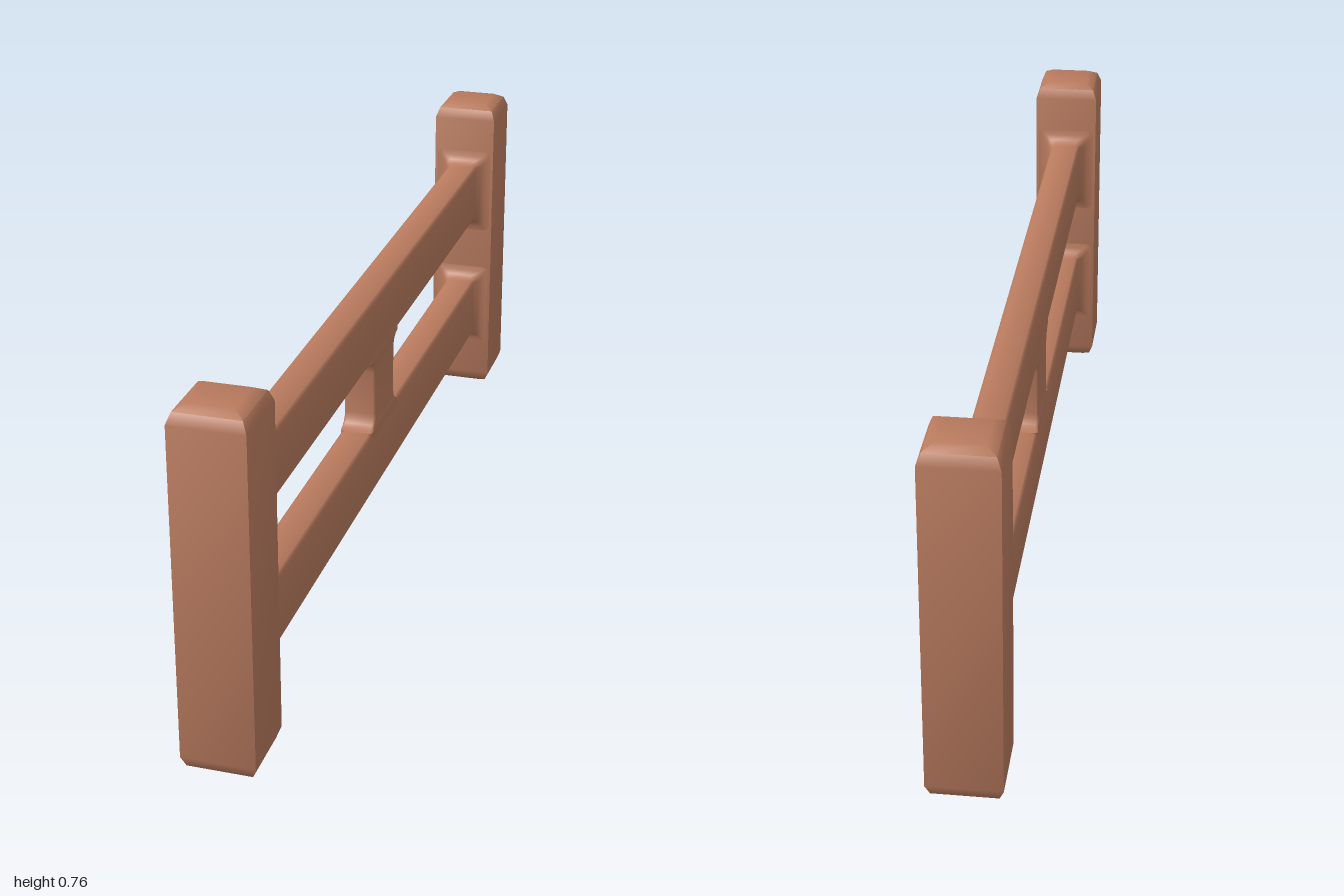
import * as THREE from 'three';
import { toCreasedNormals } from 'three/addons/utils/BufferGeometryUtils.js';

// Joins equal-sized cross-sections [z, [[x, y], ...]] along z and caps both ends
function loft(sections) {
  const pos = [], index = [], n = sections[0][1].length, last = sections.length - 1;
  for (const [z, ring] of sections) for (const [x, y] of ring) pos.push(x, y, z);
  for (let s = 0; s < last; s++) {
    for (let i = 0; i < n; i++) {
      const a = s * n + i, b = s * n + (i + 1) % n;
      index.push(a, b, b + n, a, b + n, a + n);
    }
  }
  for (let i = 1; i < n - 1; i++) {
    index.push(0, i + 1, i, last * n, last * n + i, last * n + i + 1);
  }
  const geo = new THREE.BufferGeometry();
  geo.setAttribute('position', new THREE.Float32BufferAttribute(pos, 3));
  geo.setIndex(index);
  return geo;
}

const finish = (geo) => toCreasedNormals(geo, 0.82);
const rect = (w, h) => [[-w, -h], [w, -h], [w, h], [-w, h]];

// Rectangle with separately rounded bottom and top edges
function softRect(w, h, rBottom, rTop) {
  const ring = [];
  [[1, -1, rBottom], [1, 1, rTop], [-1, 1, rTop], [-1, -1, rBottom]].forEach(([sx, sy, r], q) => {
    for (let i = 0; i <= 3; i++) {
      const a = (q - 1 + i / 3) * Math.PI / 2;
      ring.push([sx * (w - r) + r * Math.cos(a), sy * (h - r) + r * Math.sin(a)]);
    }
  });
  return ring;
}

// Concave fillet: distance from the joint and outward spread
const fillet = [];
for (let i = 0; i <= 4; i++) {
  const a = i / 4 * Math.PI / 2;
  fillet.push([0.032 * (1 - Math.sin(a)), 0.032 * (1 - Math.cos(a))]);
}

export function createModel() {
  const group = new THREE.Group();
  const wood = new THREE.MeshStandardMaterial({ color: 0xb87a5e });
  wood.name = 'wood';
  const add = (name, geo, y, z) => {
    const mesh = new THREE.Mesh(geo, wood);
    mesh.name = name;
    mesh.position.set(0, y, z);
    group.add(mesh);
  };

  // End posts with rounded tops and feet
  const H = 0.76, bevel = [[0, 0.045], [0.012, 0.066], [0.035, 0.075]];
  const postSections = [
    ...bevel.map(([y, w]) => [y, rect(w, w)]),
    ...bevel.slice().reverse().map(([y, w]) => [H - y, rect(w, w)]),
  ];
  const post = finish(loft(postSections).rotateX(-Math.PI / 2));
  add('frontPost', post, 0, 0.925);
  add('backPost', post, 0, -0.925);

  // Rails, flaring out where they meet the posts
  const rail = (rBottom) => {
    const half = [...fillet.map(([d, e]) => [0.85 - d, e]), [0.855, 0.032]].sort((a, b) => a[0] - b[0]);
    const ends = [...half.map(([z, e]) => [-z, e]).reverse(), ...half];
    return finish(loft(ends.map(([z, e]) => [z, softRect(0.036 + e, 0.0725 + e, rBottom, 0.014)])));
  };
  add('upperRail', rail(0.014), 0.5375, 0);
  add('lowerRail', rail(0.003), 0.2275, 0);

  // Middle brace, filleted into both rails
  const spread = [...fillet.map(([d, e]) => [0.0825 - d, e]), [0.105, 0.032]].sort((a, b) => a[0] - b[0]);
  const levels = [...spread.map(([y, e]) => [-y, e]).reverse(), ...spread];
  const brace = loft(levels.map(([y, e]) => [y, softRect(0.036, 0.073 + e, 0.006, 0.006)]));
  add('middleBrace', finish(brace.rotateX(-Math.PI / 2)), 0.3825, 0);

  return group;
}
